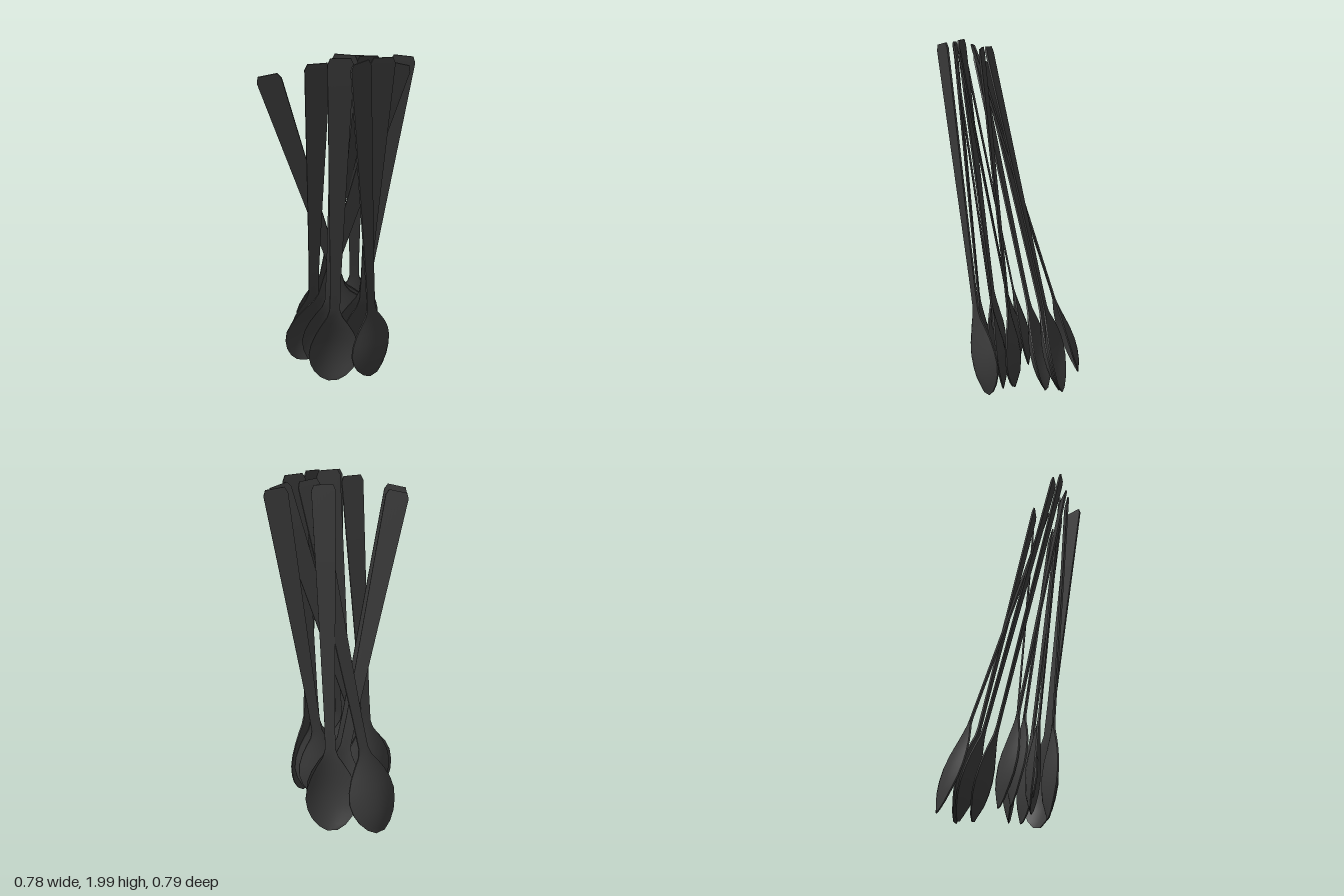
import * as THREE from 'three';
import { toCreasedNormals } from 'three/addons/utils/BufferGeometryUtils.js';

// Spoon sections from bowl tip to handle end: [y, half width, bowl depth, thickness, rim offset]
const SECTIONS = [
  [0.0, 0.03, 0.0, 0.006, 0.005],
  [0.035, 0.078, 0.018, 0.007, 0.01],
  [0.09, 0.118, 0.04, 0.008, 0.015],
  [0.15, 0.142, 0.054, 0.008, 0.02],
  [0.22, 0.152, 0.058, 0.008, 0.021],
  [0.29, 0.14, 0.05, 0.008, 0.019],
  [0.36, 0.112, 0.034, 0.008, 0.015],
  [0.42, 0.078, 0.018, 0.009, 0.01],
  [0.47, 0.045, 0.006, 0.01, 0.006],
  [0.52, 0.03, 0.0, 0.01, 0.005],
  [0.7, 0.03, 0.0, 0.01, 0.005],
  [1.1, 0.04, 0.0, 0.01, 0.005],
  [1.6, 0.054, 0.0, 0.01, 0.005],
  [1.97, 0.064, 0.0, 0.01, 0.005],
  [2.0, 0.05, 0.0, 0.008, 0.004],
];
const STEPS = 8;

// Closed loop across the spoon: front surface left to right, back surface right to left
function spoonGeometry() {
  const pos = [], index = [];
  const ring = 2 * (STEPS + 1);
  for (const [y, w, depth, th, rim] of SECTIONS) {
    for (let side = 0; side < 2; side++) {
      for (let i = 0; i <= STEPS; i++) {
        const u = (side ? -1 : 1) * (2 * i / STEPS - 1);
        pos.push(u * w, y, rim - depth * (1 - u * u) - side * th);
      }
    }
  }
  for (let k = 0; k < SECTIONS.length - 1; k++) {
    for (let i = 0; i < ring; i++) {
      const a = k * ring + i, b = k * ring + (i + 1) % ring;
      index.push(a, b, b + ring, a, b + ring, a + ring);
    }
  }
  // End caps
  const top = (SECTIONS.length - 1) * ring;
  for (let i = 0; i < STEPS; i++) {
    const j = ring - 1 - i;
    index.push(i, j, j - 1, i, j - 1, i + 1);
    index.push(top + i, top + i + 1, top + j - 1, top + i, top + j - 1, top + j);
  }
  const g = new THREE.BufferGeometry();
  g.setAttribute('position', new THREE.Float32BufferAttribute(pos, 3));
  g.setIndex(index);
  return toCreasedNormals(g, 0.7);
}

// Each spoon: bowl tip, handle end, width direction (x, z), hollow side (1 front, -1 back)
const SPOONS = [
  [[0.01, 0.03, -0.285], [-0.21, 1.895, 0.378], [0.92, -0.38], -1],
  [[-0.035, 0.03, -0.35], [-0.228, 1.875, 0.34], [0.92, -0.38], -1],
  [[-0.06, 0.02, -0.355], [0.105, 1.96, 0.05], [0.93, -0.36], -1],
  [[-0.335, 0.02, -0.285], [0.2, 1.97, 0.08], [0.69, -0.72], 1],
  [[0.045, 0.02, -0.095], [0.325, 1.955, -0.075], [0.88, -0.47], 1],
  [[0.11, 0.02, -0.05], [0.297, 1.98, 0.13], [0.75, -0.66], 1],
  [[-0.23, 0.04, 0.075], [0.352, 1.94, 0.045], [0.8, -0.6], 1],
  [[-0.2, 0.04, -0.015], [0.02, 1.955, 0.29], [0.75, -0.66], 1],
  [[0.025, 0.01, 0.145], [0.13, 1.985, 0.26], [0.83, -0.56], 1],
  [[-0.055, 0.03, 0.085], [0.132, 1.995, 0.215], [0.93, -0.37], 1],
  [[0.225, 0.01, -0.015], [0.235, 1.975, 0.26], [0.4, -0.92], -1],
];

export function createModel() {
  const group = new THREE.Group();
  group.name = 'spoonBundle';
  const geometry = spoonGeometry();
  const material = new THREE.MeshStandardMaterial({ color: 0x3a3a3a });
  SPOONS.forEach(([tip, end, width, hollow], i) => {
    const start = new THREE.Vector3(...tip);
    const axis = new THREE.Vector3(...end).sub(start);
    const length = axis.length();
    axis.normalize();
    // Width direction squared up against the spoon's axis
    const across = new THREE.Vector3(width[0], 0, width[1]).multiplyScalar(hollow);
    across.addScaledVector(axis, -across.dot(axis)).normalize();
    const face = across.clone().cross(axis);
    const spoon = new THREE.Mesh(geometry, material);
    spoon.name = `spoon${i + 1}`;
    spoon.quaternion.setFromRotationMatrix(new THREE.Matrix4().makeBasis(across, axis, face));
    spoon.position.copy(start);
    spoon.scale.y = length / 2;
    group.add(spoon);
  });
  return group;
}
